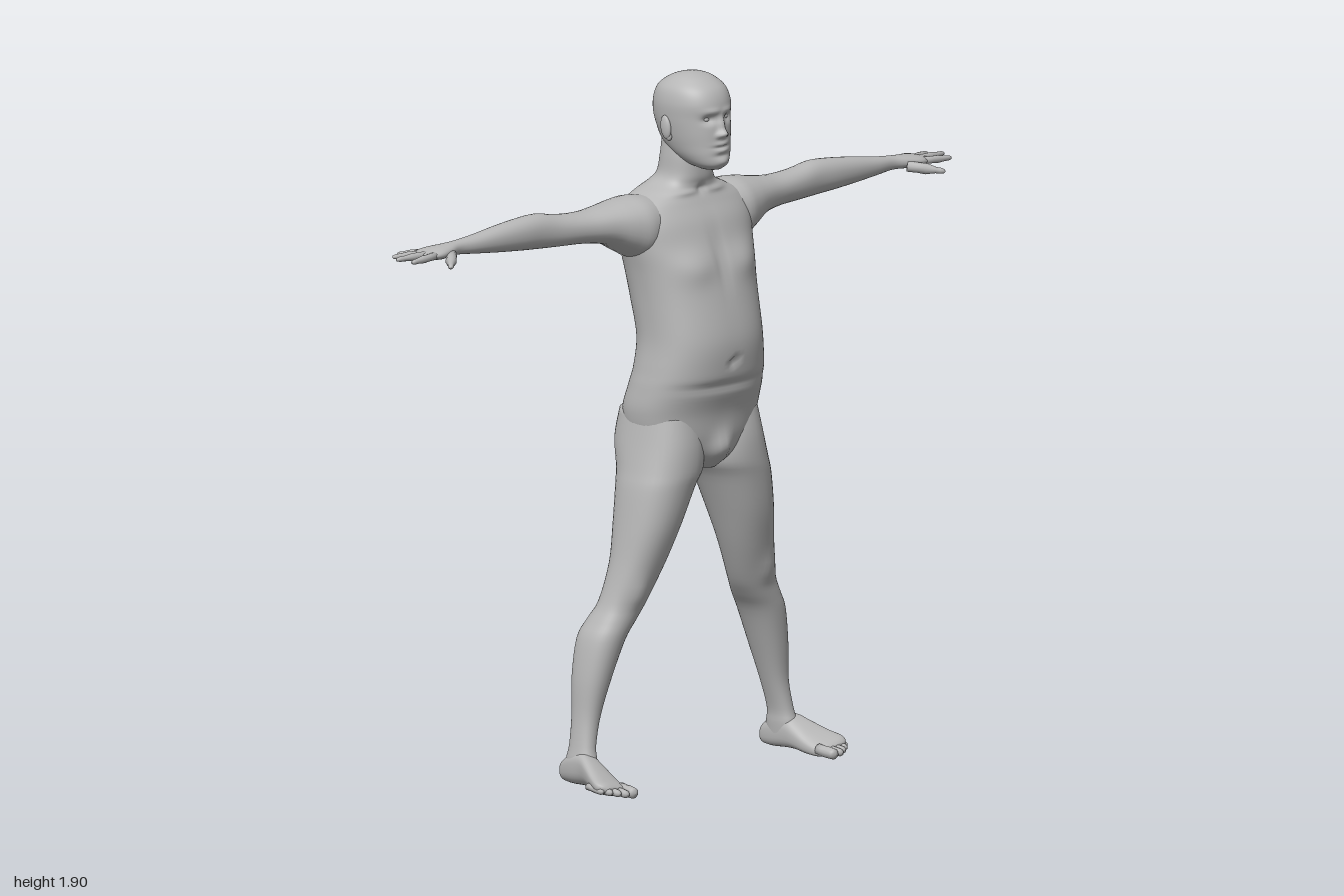
import * as THREE from 'three';

const skin = new THREE.MeshStandardMaterial({ color: 0xb6b6b6 });
skin.name = 'plain grey skin';

// Axis maps: a section is [t, uMin, uMax, vMin, vMax]
const alongX = (t, u, v) => [t, u, v]; // u = y, v = z
const alongY = (t, u, v) => [v, t, u]; // u = z, v = x
const alongZ = (t, u, v) => [u, v, t]; // u = x, v = y

function spline(a, b, c, d, s) {
  return 0.5 * (2 * b + (c - a) * s + (2 * a - 5 * b + 4 * c - d) * s * s + (3 * b - a - 3 * c + d) * s * s * s);
}

// Smooth closed skin through oval sections, with an optional sculpting rule
function loft(sections, map, { sides = 32, steps = 4, power = 2.2, sculpt } = {}) {
  const n = sections.length, rows = [];
  const at = i => sections[Math.max(0, Math.min(n - 1, i))];
  for (let i = 0; i < n - 1; i++) {
    for (let k = 0; k < steps; k++) {
      rows.push(at(i).map((_, c) => spline(at(i - 1)[c], at(i)[c], at(i + 1)[c], at(i + 2)[c], k / steps)));
    }
  }
  rows.push(at(n - 1));
  const pos = [], index = [];
  const put = (t, u, v) => {
    const p = map(t, u, v);
    pos.push(...(sculpt ? sculpt(p) : p));
  };
  const bend = c => Math.sign(c) * Math.pow(Math.abs(c), 2 / power);
  for (const [t, u0, u1, v0, v1] of rows) {
    for (let j = 0; j < sides; j++) {
      const a = (j / sides) * Math.PI * 2;
      put(t, (u0 + u1) / 2 + bend(Math.cos(a)) * (u1 - u0) / 2, (v0 + v1) / 2 + bend(Math.sin(a)) * (v1 - v0) / 2);
    }
  }
  const last = (rows.length - 1) * sides, pole = rows.length * sides;
  for (const [t, u0, u1, v0, v1] of [rows[0], rows[rows.length - 1]]) put(t, (u0 + u1) / 2, (v0 + v1) / 2);
  for (let j = 0; j < sides; j++) {
    const k = (j + 1) % sides;
    for (let r = 0; r < last; r += sides) {
      index.push(r + j, r + k, r + sides + k, r + j, r + sides + k, r + sides + j);
    }
    index.push(pole, k, j, pole + 1, last + j, last + k);
  }
  const g = new THREE.BufferGeometry();
  g.setAttribute('position', new THREE.Float32BufferAttribute(pos, 3));
  g.setIndex(index);
  g.computeVertexNormals();
  return g;
}

// Symmetric soft bumps [x, y, z, width, height, push along z]
const bumps = (list, depth) => ([x, y, z]) => {
  let dz = 0;
  for (const [cx, cy, cz, sx, sy, push] of list) {
    dz += push * Math.exp(-(((Math.abs(x) - cx) / sx) ** 2) - ((y - cy) / sy) ** 2 - ((z - cz) / depth) ** 2);
  }
  return [x, y, z + dz];
};

// Tapered round-ended finger or toe between two points
function digit(from, to, r0, r1, flat = 1) {
  const a = new THREE.Vector3(...from), b = new THREE.Vector3(...to), d = b.clone().sub(a), len = d.length();
  const profile = [[0, 0], [r0, 0.02], [r0 * 0.93, 0.3], [r0, 0.5], [r1 * 1.05, 0.75], [r1, 0.88], [r1 * 0.65, 0.97], [0, 1]];
  const g = new THREE.LatheGeometry(profile.map(([r, t]) => new THREE.Vector2(r, t * len)), 12);
  g.scale(1, 1, flat);
  g.applyQuaternion(new THREE.Quaternion().setFromUnitVectors(new THREE.Vector3(0, 1, 0), d.normalize()));
  return g.translate(a.x, a.y, a.z);
}

function ellipsoid(x, y, z, rx, ry, rz, tilt = 0) {
  return new THREE.SphereGeometry(1, 20, 14).scale(rx, ry, rz).rotateX(tilt).translate(x, y, z);
}

function mirrored(geometry) {
  const g = geometry.clone().scale(-1, 1, 1), ix = g.index.array;
  for (let i = 0; i < ix.length; i += 3) [ix[i], ix[i + 1]] = [ix[i + 1], ix[i]];
  return g;
}

export function createModel() {
  const model = new THREE.Group();
  model.name = 'standingFigure';
  const add = (name, geometry) => {
    const m = new THREE.Mesh(geometry, skin);
    m.name = name;
    model.add(m);
  };
  const addPair = (name, geometry) => {
    add(name + 'Left', geometry);
    add(name + 'Right', mirrored(geometry));
  };

  // Torso and neck: height, back, front, half width
  const torso = [
    [0.84, -0.05, 0.07, 0.03], [0.88, -0.11, 0.1, 0.11], [0.93, -0.142, 0.112, 0.18], [1.0, -0.15, 0.122, 0.199],
    [1.07, -0.132, 0.145, 0.194], [1.12, -0.12, 0.156, 0.186], [1.2, -0.118, 0.16, 0.176], [1.3, -0.14, 0.14, 0.179],
    [1.38, -0.153, 0.117, 0.188], [1.45, -0.157, 0.092, 0.202], [1.51, -0.155, 0.07, 0.208], [1.555, -0.148, 0.045, 0.19],
    [1.585, -0.138, 0.03, 0.135], [1.605, -0.124, 0.03, 0.092], [1.63, -0.106, 0.034, 0.072], [1.68, -0.096, 0.032, 0.066],
    [1.73, -0.09, 0.02, 0.06],
  ].map(([y, b, f, w]) => [y, b, f, -w, w]);
  add('torso', loft(torso, alongY, {
    sides: 80, steps: 6, power: 2.35,
    sculpt: bumps([
      [0.09, 1.4, 0.11, 0.06, 0.045, 0.014], [0, 1.42, 0.11, 0.015, 0.08, -0.007], // chest
      [0, 1.14, 0.155, 0.01, 0.01, -0.013], [0, 1.075, 0.145, 0.16, 0.012, -0.008], // navel, waist crease
      [0, 0.9, 0.11, 0.03, 0.04, 0.022], // groin
      [0.06, 1.585, 0.03, 0.04, 0.008, 0.006], [0, 1.59, 0.03, 0.012, 0.012, -0.01], // collarbones
      [0, 1.3, -0.14, 0.02, 0.2, 0.014], [0.09, 1.47, -0.15, 0.045, 0.06, -0.009], // spine, shoulder blades
      [0.085, 0.95, -0.145, 0.06, 0.055, -0.013], [0, 0.91, -0.14, 0.013, 0.07, 0.035], // buttocks
    ], 0.08),
  }));

  // Head: height, back, front, half width
  const head = [
    [1.652, 0.03, 0.095, 0.025], [1.666, -0.015, 0.111, 0.048], [1.69, -0.06, 0.113, 0.065], [1.72, -0.093, 0.11, 0.076],
    [1.75, -0.108, 0.108, 0.083], [1.79, -0.12, 0.104, 0.089], [1.83, -0.119, 0.103, 0.09], [1.865, -0.104, 0.087, 0.08],
    [1.889, -0.07, 0.055, 0.056], [1.9, -0.04, 0.025, 0.032], [1.905, -0.012, -0.002, 0.005],
  ].map(([y, b, f, w]) => [y, b, f, -w, w]);
  add('head', loft(head, alongY, {
    sides: 96, steps: 8, power: 2.15,
    sculpt: bumps([
      [0, 1.752, 0.108, 0.011, 0.011, 0.02], [0, 1.775, 0.106, 0.009, 0.02, 0.013], [0.013, 1.748, 0.105, 0.007, 0.007, 0.009], // nose
      [0.033, 1.79, 0.09, 0.017, 0.011, -0.013], [0.025, 1.812, 0.1, 0.025, 0.008, 0.005], // eye sockets, brow
      [0, 1.724, 0.11, 0.02, 0.006, 0.006], [0, 1.715, 0.11, 0.024, 0.003, -0.006], [0, 1.706, 0.11, 0.018, 0.006, 0.006], // lips
      [0, 1.692, 0.112, 0.025, 0.006, -0.004], [0, 1.675, 0.112, 0.02, 0.01, 0.005], // chin
    ], 0.06),
  }));
  addPair('eye', ellipsoid(0.032, 1.79, 0.077, 0.013, 0.009, 0.012));
  addPair('ear', ellipsoid(0.09, 1.763, -0.014, 0.009, 0.032, 0.018, -0.15));
  addPair('earLobe', ellipsoid(0.086, 1.738, -0.006, 0.007, 0.012, 0.009));

  // Arm and palm: x, bottom, top, back, front
  addPair('arm', loft([
    [0.1, 1.44, 1.575, -0.135, 0.02], [0.17, 1.415, 1.584, -0.15, 0.04], [0.22, 1.435, 1.58, -0.146, 0.028],
    [0.28, 1.466, 1.57, -0.131, 0.005], [0.35, 1.477, 1.562, -0.123, -0.016], [0.43, 1.48, 1.566, -0.12, -0.03],
    [0.5, 1.483, 1.577, -0.12, -0.038], [0.57, 1.488, 1.574, -0.117, -0.04], [0.65, 1.495, 1.565, -0.112, -0.045],
    [0.73, 1.503, 1.553, -0.107, -0.053], [0.79, 1.509, 1.547, -0.102, -0.06], [0.83, 1.508, 1.544, -0.111, -0.05],
    [0.87, 1.507, 1.54, -0.127, -0.042], [0.9, 1.511, 1.534, -0.13, -0.048], [0.917, 1.516, 1.529, -0.12, -0.06],
  ], alongX));
  const fingers = {
    thumb: [[0.83, 1.517, -0.058], [0.902, 1.503, 0.016], 0.015, 0.008],
    indexFinger: [[0.89, 1.523, -0.057], [0.984, 1.519, -0.048], 0.0105, 0.007],
    middleFinger: [[0.89, 1.524, -0.08], [0.999, 1.522, -0.093], 0.0105, 0.007],
    ringFinger: [[0.89, 1.523, -0.1], [0.975, 1.52, -0.133], 0.01, 0.007],
    littleFinger: [[0.868, 1.522, -0.115], [0.927, 1.516, -0.167], 0.0095, 0.006],
  };
  for (const [name, spec] of Object.entries(fingers)) addPair(name, digit(...spec));

  // Leg: height, back, front, inner, outer
  addPair('leg', loft([
    [0.04, -0.098, 0.0, 0.337, 0.394], [0.08, -0.097, 0.002, 0.334, 0.396], [0.12, -0.09, -0.008, 0.332, 0.388],
    [0.2, -0.096, -0.012, 0.309, 0.376], [0.3, -0.111, 0.002, 0.274, 0.369], [0.4, -0.118, 0.018, 0.234, 0.35],
    [0.45, -0.105, 0.025, 0.2, 0.325], [0.5, -0.087, 0.033, 0.169, 0.299], [0.6, -0.082, 0.063, 0.125, 0.271],
    [0.7, -0.096, 0.09, 0.085, 0.253], [0.8, -0.112, 0.106, 0.042, 0.236], [0.85, -0.128, 0.112, 0.012, 0.223],
    [0.92, -0.152, 0.11, 0.008, 0.207], [1.0, -0.14, 0.095, 0.025, 0.19],
  ], alongY, { sides: 40, sculpt: bumps([[0.235, 0.525, 0.03, 0.03, 0.035, 0.009]], 0.05) }));

  // Foot, rising a little to the outside: z, inner, outer, bottom, top
  const tilt = ([x, y, z]) => [x, y + (x - 0.35) * 0.2, z];
  addPair('foot', loft([
    [-0.12, 0.355, 0.375, 0.025, 0.05], [-0.108, 0.342, 0.388, 0.014, 0.068], [-0.07, 0.336, 0.397, 0.01, 0.09],
    [-0.02, 0.337, 0.405, 0.012, 0.098], [0.02, 0.338, 0.42, 0.011, 0.08], [0.06, 0.341, 0.438, 0.004, 0.058],
    [0.095, 0.346, 0.452, 0.001, 0.042], [0.115, 0.352, 0.445, 0.003, 0.034], [0.125, 0.36, 0.43, 0.008, 0.026],
  ], alongZ, { power: 2.6, sculpt: tilt }));
  [[0.366, 0.163, 0.016], [0.391, 0.16, 0.0115], [0.41, 0.15, 0.0105], [0.428, 0.137, 0.01], [0.444, 0.12, 0.0095]].forEach(([x, z, r], i) => {
    const y = r + 0.001 + (x - 0.35) * 0.2;
    addPair('toe' + (i + 1), digit([x - 0.005, y + 0.006, z - 0.065], [x, y, z], r, r * 0.9));
  });

  return model;
}
